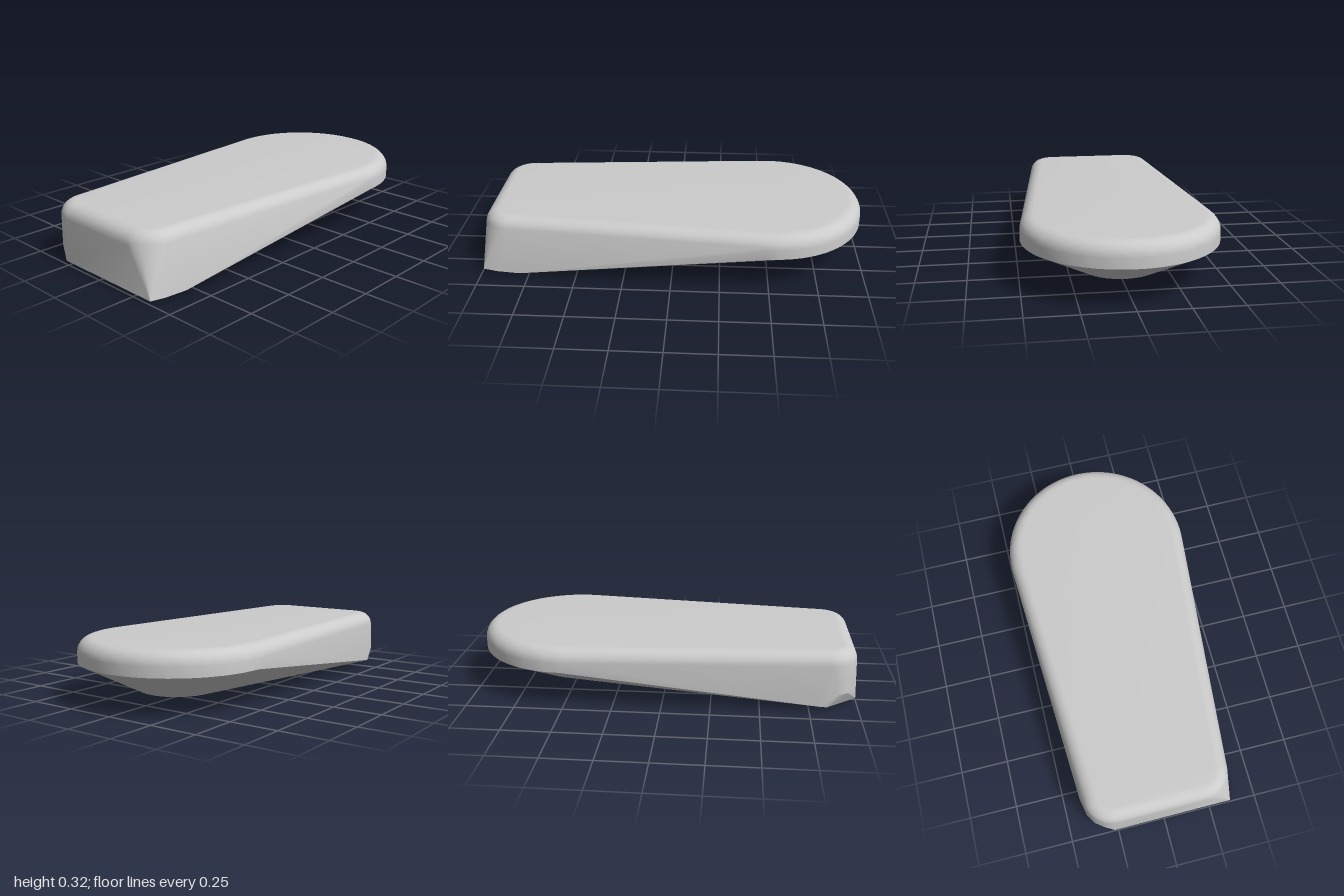
import * as THREE from 'three';
import { ConvexGeometry } from 'three/addons/geometries/ConvexGeometry.js';
import { toCreasedNormals } from 'three/addons/utils/BufferGeometryUtils.js';

const FILLET = 0.07;
const V = (x, y, z) => new THREE.Vector3(x, y, z);

// Horizontal arc; angle 0 points to +x, 90 degrees to +z
function arc(cx, cz, radius, y, from, to, steps) {
  const points = [];
  for (let i = 0; i <= steps; i++) {
    const a = THREE.MathUtils.degToRad(from + (to - from) * i / steps);
    points.push(V(cx + radius * Math.cos(a), y, cz + radius * Math.sin(a)));
  }
  return points;
}

// Rounded upper rim of one arc, following the gently tilted top
function roundedRim(cx, cz, radius, from, to, steps) {
  const points = [];
  for (let i = 0; i <= 7; i++) {
    const t = (i / 7) * Math.PI / 2;
    const r = radius - FILLET * (1 - Math.cos(t));
    const y = 0.316 - FILLET * (1 - Math.sin(t));
    points.push(...arc(cx, cz, r, y, from, to, steps));
  }
  for (const p of points) p.y -= 0.0055 * p.z;
  return points;
}

export function createModel() {
  const group = new THREE.Group();
  group.name = 'wedgeBlock';

  const points = [
    // rounded top: broad back end and the two front corners
    ...roundedRim(0, -0.51, 0.49, 176, 364, 44),
    ...roundedRim(0.21, 0.84, 0.15, -4, 90, 14),
    ...roundedRim(-0.25, 0.84, 0.15, 90, 184, 14),
    // lower edge of the upright back wall
    ...arc(0, -0.51, 0.49, 0.2, 176, 364, 44),
    // small rounded end of the sloping underside
    ...arc(0, -0.5, 0.2, 0.045, 180, 360, 28),
    // sharp lower corner on the left
    V(0.365, 0.017, 0.995), V(0.38, 0.013, 0.92), V(0.392, 0.012, 0.8),
    V(0.27, 0.003, 0.85),
    // cut-off lower corner on the right
    ...arc(-0.25, 0.84, 0.155, 0.09, 95, 180, 4),
    V(-0.413, 0.03, 0.8), V(-0.4, 0.022, 0.84),
    V(-0.27, 0.02, 0.998), V(-0.27, 0.004, 0.85),
  ];

  const body = new THREE.Mesh(
    toCreasedNormals(new ConvexGeometry(points), 0.35),
    new THREE.MeshStandardMaterial({ color: 0xcccccc })
  );
  body.name = 'body';
  group.add(body);
  return group;
}
